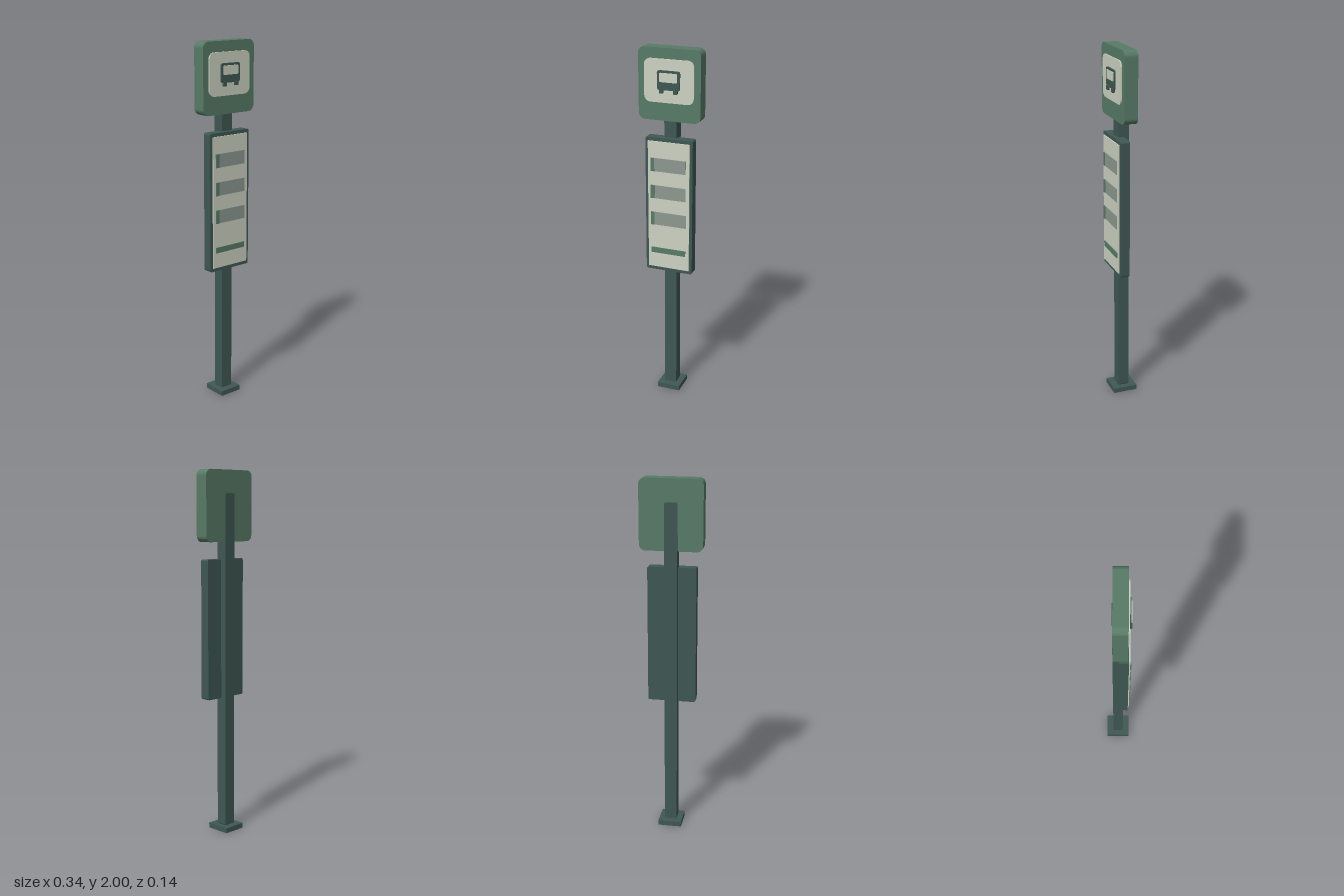
import * as THREE from 'three';

function material(name, color) {
  const m = new THREE.MeshStandardMaterial({ color });
  m.name = name;
  return m;
}

// Rounded rectangle spanning x0..x1, y0..y1
function roundedRect(x0, x1, y0, y1, r) {
  const s = new THREE.Shape();
  s.absarc(x1 - r, y1 - r, r, 0, Math.PI / 2);
  s.absarc(x0 + r, y1 - r, r, Math.PI / 2, Math.PI);
  s.absarc(x0 + r, y0 + r, r, Math.PI, Math.PI * 1.5);
  s.absarc(x1 - r, y0 + r, r, Math.PI * 1.5, Math.PI * 2);
  s.closePath();
  return s;
}

export function createModel() {
  const dark = material('dark slate', 0x3f5853);
  const green = material('muted green', 0x587b67);
  const cream = material('cream', 0xcdd3c2);
  const grey = material('grey print', 0x8d9991);

  const model = new THREE.Group();
  model.name = 'busStop';

  // Slab between two z planes; r rounds its front outline
  function slab(parent, name, mat, [x0, x1], [y0, y1], [z0, z1], r = 0) {
    let geo;
    if (r > 0) {
      geo = new THREE.ExtrudeGeometry(roundedRect(x0, x1, y0, y1, r), {
        depth: z1 - z0, bevelEnabled: false, curveSegments: 5,
      });
      geo.translate(0, 0, z0);
    } else {
      geo = new THREE.BoxGeometry(x1 - x0, y1 - y0, z1 - z0);
      geo.translate((x0 + x1) / 2, (y0 + y1) / 2, (z0 + z1) / 2);
    }
    const mesh = new THREE.Mesh(geo, mat);
    mesh.name = name;
    parent.add(mesh);
  }
  function group(name) {
    const g = new THREE.Group();
    g.name = name;
    model.add(g);
    return g;
  }

  // Foot and post
  slab(model, 'basePlate', dark, [-0.066, 0.066], [0, 0.028], [-0.069, 0.069]);
  slab(model, 'post', dark, [-0.035, 0.035], [0.026, 1.876], [-0.03, 0.031], 0.01);

  // Square sign head
  const sign = group('signHead');
  slab(sign, 'signBoard', green, [-0.172, 0.172], [1.618, 2], [-0.026, 0.048], 0.034);
  slab(sign, 'signPanel', cream, [-0.137, 0.137], [1.716, 1.944], [0.047, 0.055], 0.034);

  // Bus pictogram
  const bus = group('busSymbol');
  slab(bus, 'busBody', dark, [-0.063, 0.063], [1.784, 1.886], [0.054, 0.062], 0.012);
  slab(bus, 'busWindow', cream, [-0.049, 0.049], [1.826, 1.874], [0.061, 0.066], 0.005);
  for (const side of [-1, 1]) {
    const x = side * 0.039;
    slab(bus, 'busWheel', dark, [x - 0.011, x + 0.011], [1.767, 1.79], [0.054, 0.067], 0.004);
  }

  // Timetable case
  const board = group('timetable');
  slab(board, 'timetableFrame', dark, [-0.134, 0.134], [0.758, 1.524], [0.002, 0.055], 0.01);
  slab(board, 'timetableSheet', cream, [-0.118, 0.118], [0.778, 1.505], [0.054, 0.061]);
  for (const y of [1.376, 1.222, 1.068]) {
    slab(board, 'scheduleRow', grey, [-0.098, 0.098], [y - 0.037, y + 0.037], [0.06, 0.065]);
    slab(board, 'rowMarker', green, [-0.101, -0.08], [y - 0.037, y + 0.037], [0.06, 0.068]);
  }
  slab(board, 'footerBar', green, [-0.101, 0.098], [0.864, 0.895], [0.06, 0.066]);

  return model;
}
